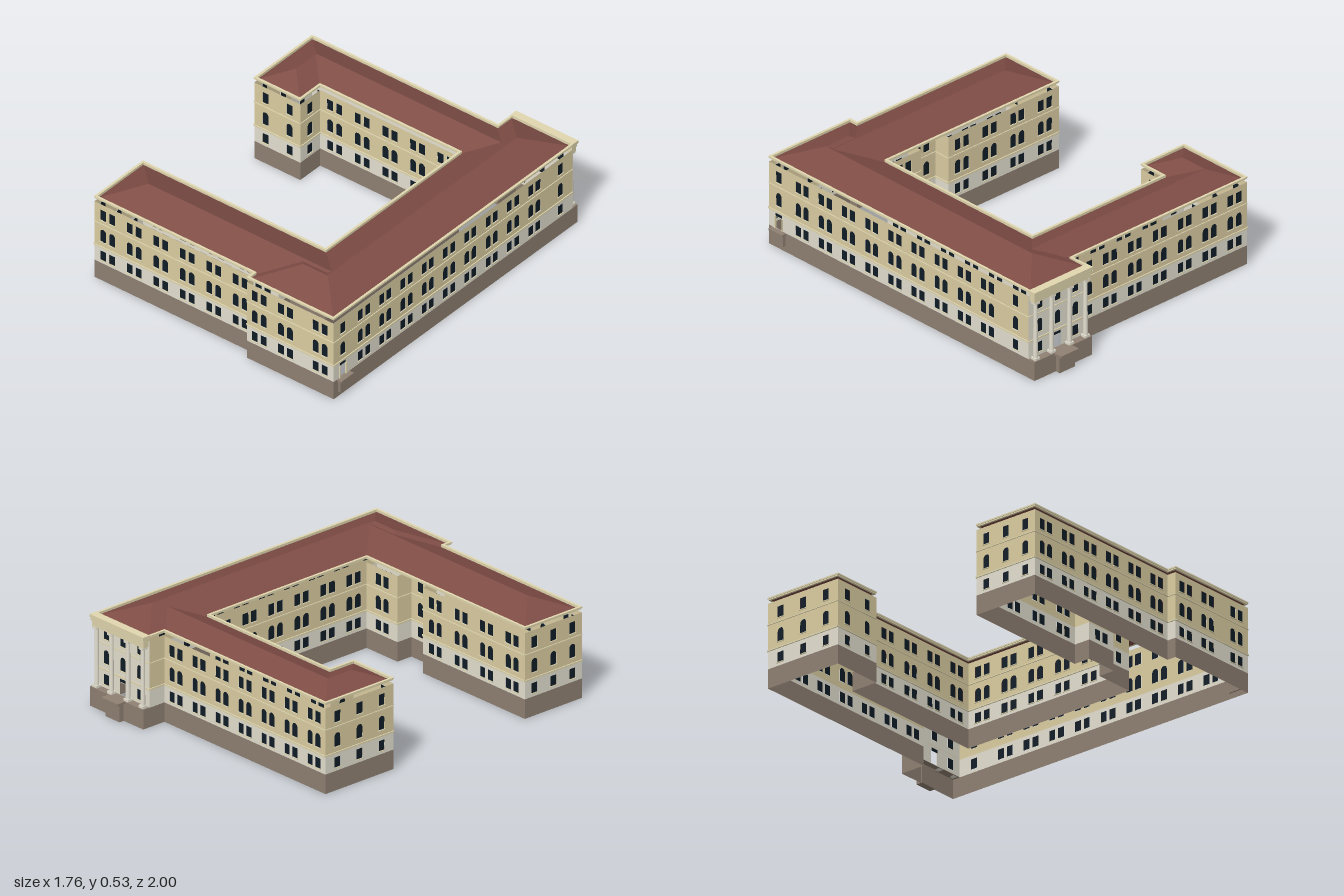
import * as THREE from 'three';
import { mergeGeometries } from 'three/addons/utils/BufferGeometryUtils.js';

// Heights of the storeys
const BASE = 0.10, BELT = 0.19, BELT2 = 0.325, WALL_TOP = 0.44, EAVE = 0.457, ROOF = 0.47, SLOPE = 0.38;
const PORTICO_V = -0.838;

// Plan outline (u, v), walked so that the outside of edge (du, dv) is (dv, -du)
const PLAN = [[0.724, -0.88], [0.724, 0.942], [0.196, 0.942], [0.196, 0.894], [-0.765, 0.894], [-0.765, 0.529],
  [0.34, 0.529], [0.34, -0.459], [-0.495, -0.459], [-0.495, -0.311], [-0.777, -0.311], [-0.777, -0.746],
  [0.348, -0.746], [0.348, -0.88]];
// Recessed bay in the courtyard wall of the front wing
const BAY = [[-0.048, 0.529], [-0.048, 0.617], [0.125, 0.617], [0.125, 0.529]];

const mat = (color, extra = {}) =>
  new THREE.MeshStandardMaterial({ color, roughness: 0.9, side: THREE.DoubleSide, ...extra });
const mats = {
  base: mat(0x8f8072),
  pale: mat(0xe4e0d0),
  wall: mat(0xdccea2),
  trim: mat(0xe0d6ae, { flatShading: true }),
  roof: mat(0x7e4c45, { flatShading: true }),
  glass: mat(0x101c26),
};

// Moves every edge of a right-angled outline inwards by d
function inset(poly, d) {
  const n = poly.length;
  const normal = (a, b) => {
    const l = Math.hypot(b[0] - a[0], b[1] - a[1]);
    return [(b[1] - a[1]) / l, -(b[0] - a[0]) / l];
  };
  return poly.map((p, i) => {
    const m = normal(poly[(i + n - 1) % n], p), k = normal(p, poly[(i + 1) % n]);
    return [p[0] - d * (m[0] + k[0]), p[1] - d * (m[1] + k[1])];
  });
}

const box = (x0, x1, y0, y1, z0, z1) =>
  new THREE.BoxGeometry(x1 - x0, y1 - y0, z1 - z0).translate((x0 + x1) / 2, (y0 + y1) / 2, (z0 + z1) / 2);

const rect = (x0, x1, y0, y1) =>
  new THREE.Shape([[x0, y0], [x1, y0], [x1, y1], [x0, y1]].map(p => new THREE.Vector2(...p)));

// Window outline, optionally with a round head
function windowShape(x, y0, y1, w, arched) {
  const r = w / 2;
  if (!arched) return rect(x - r, x + r, y0, y1);
  const s = new THREE.Shape();
  s.moveTo(x - r, y0);
  s.lineTo(x + r, y0);
  s.lineTo(x + r, y1 - r);
  s.absarc(x, y1 - r, r, 0, Math.PI, false);
  s.closePath();
  return s;
}

// Horizontal ring following the outline
function ring(poly, d, y0, y1) {
  const toShape = pts => new THREE.Shape(pts.map(p => new THREE.Vector2(p[0], -p[1])));
  const s = toShape(poly);
  s.holes.push(toShape(inset(poly, d)));
  return new THREE.ExtrudeGeometry(s, { depth: y1 - y0, bevelEnabled: false }).rotateX(-Math.PI / 2).translate(0, y0, 0);
}

// Hipped roof over a rectangle, rising from behind the cornice
function hipRoof(u0, u1, v0, v1) {
  const h = Math.min(u1 - u0, v1 - v0) / 2, y = EAVE + h * SLOPE;
  const along = u1 - u0 > v1 - v0, um = (u0 + u1) / 2, vm = (v0 + v1) / 2;
  const a = [u0, EAVE, v0], b = [u1, EAVE, v0], c = [u1, EAVE, v1], d = [u0, EAVE, v1];
  const p = along ? [u0 + h, y, vm] : [um, y, v0 + h], q = along ? [u1 - h, y, vm] : [um, y, v1 - h];
  const tris = along
    ? [d, c, q, d, q, p, b, a, p, b, p, q, a, d, p, c, b, q]
    : [c, b, p, c, p, q, a, d, q, a, q, p, b, a, p, d, c, q];
  const g = new THREE.BufferGeometry();
  g.setAttribute('position', new THREE.Float32BufferAttribute(tris.flat(), 3));
  g.computeVertexNormals();
  return g;
}

const pairs = (...t) => t.flatMap(c => [c - 0.027, c + 0.027]);
const evenPairs = (n, len) => pairs(...Array.from({ length: n }, (_, i) => (i + 0.5) * len / n));

export function createModel() {
  const model = new THREE.Group();
  const building = new THREE.Group();
  building.name = 'building';
  building.rotation.y = THREE.MathUtils.degToRad(8.4);
  model.add(building);
  const add = (name, geos, material) => {
    const m = new THREE.Mesh(mergeGeometries(geos), material);
    m.name = name;
    building.add(m);
  };

  // Footprints: plinth to the full outline, walls set back behind the portico
  const foot = inset([...PLAN.slice(0, 6), ...BAY, ...PLAN.slice(6)], 0.002);
  const walls = foot.map(p => [p[0], Math.max(p[1], PORTICO_V)]);

  // Window positions along each wall, measured from the wall's start
  const bays = [
    [0.09, ...pairs(...Array.from({ length: 9 }, (_, i) => 0.283 + i * 0.1585)), 1.71],
    pairs(0.082, 0.292, 0.45), [], evenPairs(6, 0.961), [0.06, 0.18, 0.3],
    evenPairs(4, 0.715), [], evenPairs(1, 0.173), [], evenPairs(1, 0.215),
    evenPairs(6, 0.988), evenPairs(5, 0.835), [0.075], [0.065, 0.21], [0.075, 0.215, 0.355],
    evenPairs(7, 1.125), [], [0.07, 0.186, 0.302]];
  const doors = { 0: 1.71, 17: 0.186 };
  const rows = [[0.118, 0.17, false], [0.225, 0.295, true], [0.35, 0.408, false]];

  const parts = { plinth: [], lower: [], upper: [], portico: [], windows: [], bands: [] };
  const place = (geo, a, b) =>
    geo.rotateY(Math.atan2(b[1] - a[1], a[0] - b[0])).translate(a[0], 0, a[1]);

  walls.forEach((a, i) => {
    const b = walls[(i + 1) % walls.length], len = Math.hypot(b[0] - a[0], b[1] - a[1]);
    const fa = foot[i], fb = foot[(i + 1) % foot.length], fl = Math.hypot(fb[0] - fa[0], fb[1] - fa[1]);
    const put = (list, geo) => list.push(place(geo, a, b));
    const lower = rect(-len, 0, BASE, BELT), upper = rect(-len, 0, BELT, WALL_TOP);

    // Glazed opening in a wall zone
    const glaze = (zone, shape) => {
      zone.holes.push(shape);
      put(parts.windows, new THREE.ShapeGeometry(shape, 6).translate(0, 0, -0.002));
    };

    // Windows with sills; doors with a transom light
    for (const t of bays[i]) rows.forEach(([y0, y1, arched], r) => {
      if (r === 0 && t === doors[i]) {
        lower.holes.push(rect(-t - 0.022, -t + 0.022, BASE + 0.002, 0.164));
        glaze(lower, rect(-t - 0.022, -t + 0.022, 0.166, 0.182));
        return;
      }
      glaze(r === 0 ? lower : upper, windowShape(-t, y0, y1, 0.036, arched));
      put(parts.bands, box(-t - 0.021, -t + 0.021, y0 - 0.004, y0, 0, 0.004));
    });

    // Plinth and the two wall zones
    parts.plinth.push(place(new THREE.ShapeGeometry(rect(-fl, 0, 0, BASE)), fa, fb));
    put(parts.lower, new THREE.ShapeGeometry(lower));
    put(i === 17 ? parts.portico : parts.upper, new THREE.ShapeGeometry(upper, 6));

    // String courses
    for (const [y, h, d] of [[BELT, 0.008, 0.005], [BELT2, 0.005, 0.004]])
      put(parts.bands, box(-len, 0, y, y + h, 0, d));
  });

  // Top of the plinth in front of the set-back portico wall
  parts.plinth.push(new THREE.PlaneGeometry(0.372, 0.04).rotateX(-Math.PI / 2).translate(0.536, BASE, -0.858));
  add('plinth', parts.plinth, mats.base);
  add('groundFloorWalls', parts.lower, mats.pale);
  add('upperWalls', parts.upper, mats.wall);
  add('porticoWall', parts.portico, mats.pale);
  add('windows', parts.windows, mats.glass);
  add('stringCoursesAndSills', parts.bands, mats.trim);

  // Eaves cornice in two steps
  add('cornice', [ring(inset(PLAN, 0.003), 0.01, EAVE, 0.463), ring(PLAN, 0.013, 0.463, ROOF)], mats.trim);

  // Hipped roofs of the wings, running into each other
  add('roof', [
    hipRoof(0.352, 0.712, -0.838, 0.93),
    hipRoof(-0.753, 0.709, 0.541, 0.882),
    hipRoof(0.208, 0.712, 0.572, 0.93),
    hipRoof(-0.765, 0.64, -0.734, -0.471),
    hipRoof(-0.765, -0.507, -0.734, -0.323),
  ], mats.roof);

  // Portico: entablature on four columns
  add('porticoEntablature', [
    box(0.356, 0.716, 0.412, 0.44, -0.872, PORTICO_V),
    box(0.352, 0.72, 0.44, EAVE, -0.876, PORTICO_V),
    box(0.348, 0.724, EAVE, 0.472, -0.88, PORTICO_V),
  ], mats.trim);
  add('porticoColumns', [0.375, 0.478, 0.594, 0.697].flatMap(u => [
    new THREE.CylinderGeometry(0.01, 0.012, 0.295, 12).translate(u, 0.2575, -0.858),
    box(u - 0.015, u + 0.015, BASE, 0.112, -0.873, -0.843),
    box(u - 0.015, u + 0.015, 0.4, 0.412, -0.873, -0.843),
  ]), mats.pale);

  // Entrance landings at the portico and at the side door
  add('porticoLanding', [box(0.479, 0.593, 0.088, BASE, -0.924, -0.87), box(0.487, 0.585, 0, 0.088, -0.905, -0.87)], mats.base);
  add('sideLanding', [box(0.715, 0.75, 0.09, BASE, 0.822, 0.915), box(0.715, 0.737, 0.03, 0.09, 0.828, 0.909)], mats.base);
  add('sideDoorFrame', [0.847, 0.897].map(v => box(0.718, 0.727, BASE, 0.165, v - 0.003, v + 0.003)), mats.trim);

  return model;
}
